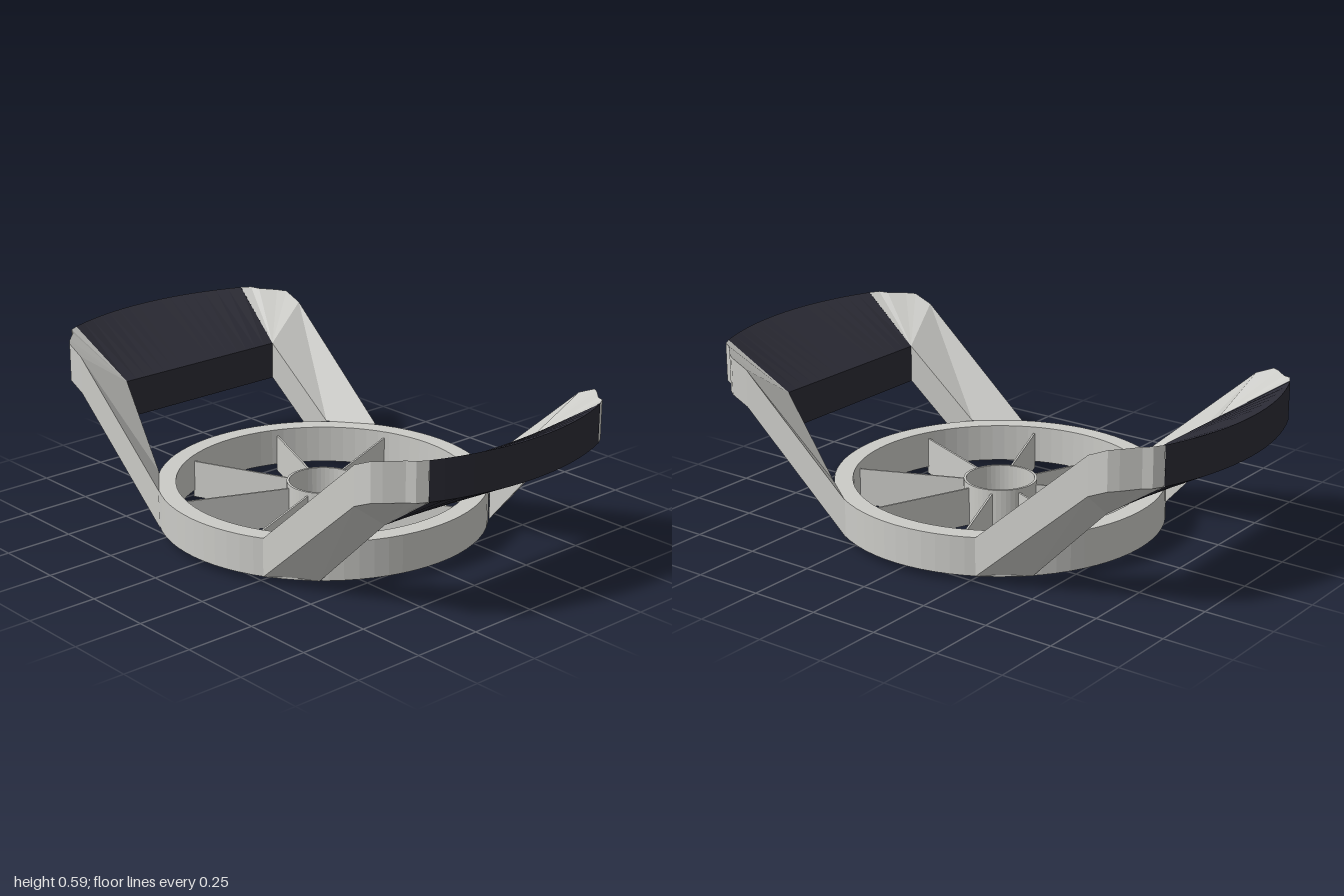
import * as THREE from 'three';

const SLAB = 0.138; // vertical thickness of arms and grips
const RING_OUT = 0.585, RING_IN = 0.52;

// Flat-shaded slab between an outer and an inner edge, extruded straight down.
function slabGeometry(outer, inner, sx, sz) {
  const pos = [];
  const flip = sx * sz < 0;
  const put = p => pos.push(p[0] * sx, p[1], p[2] * sz);
  const tri = (a, b, c) => (flip ? [a, c, b] : [a, b, c]).forEach(put);
  const quad = (a, b, c, d) => { tri(a, b, c); tri(a, c, d); };
  const down = p => [p[0], p[1] - SLAB, p[2]];
  for (let i = 0; i < outer.length - 1; i++) {
    const o = outer[i], o2 = outer[i + 1], n = inner[i], n2 = inner[i + 1];
    const fan = n === n2;
    tri(o, o2, n);
    tri(down(o), down(n), down(o2));
    quad(down(o), down(o2), o2, o);
    if (!fan) {
      tri(o2, n2, n);
      tri(down(o2), down(n), down(n2));
      quad(down(n2), down(n), n, n2);
    }
  }
  const g = new THREE.BufferGeometry();
  g.setAttribute('position', new THREE.Float32BufferAttribute(pos, 3));
  g.computeVertexNormals();
  return g;
}

// Upright tube standing on y = 0.
function tubeGeometry(rOut, rIn, height, segments) {
  const shape = new THREE.Shape().absarc(0, 0, rOut, 0, Math.PI * 2, false);
  shape.holes.push(new THREE.Path().absarc(0, 0, rIn, 0, Math.PI * 2, true));
  const g = new THREE.ExtrudeGeometry(shape, { depth: height, bevelEnabled: false, curveSegments: segments });
  return g.rotateX(-Math.PI / 2);
}

export function createModel() {
  const model = new THREE.Group();
  model.name = 'fruitSlicer';
  const metal = new THREE.MeshStandardMaterial({ color: 0xcbcbc7 });
  metal.name = 'light grey metal';
  const rubber = new THREE.MeshStandardMaterial({ color: 0x2b2b35 });
  rubber.name = 'dark rubber';

  const add = (name, geometry, material, y = 0) => {
    const mesh = new THREE.Mesh(geometry, material);
    mesh.name = name;
    mesh.position.y = y;
    model.add(mesh);
    return mesh;
  };

  // Ring and central corer
  add('ring', tubeGeometry(RING_OUT, RING_IN, 0.137, 36), metal, 0.028);
  add('corer', tubeGeometry(0.13, 0.121, 0.155, 24), metal);

  // Eight radial blades
  const bladeStart = 0.125, bladeEnd = RING_IN + 0.005;
  for (let i = 0; i < 8; i++) {
    const g = new THREE.BoxGeometry(bladeEnd - bladeStart, 0.138, 0.007);
    g.translate((bladeStart + bladeEnd) / 2, 0, 0);
    add('blade', g, metal, 0.071).rotation.y = (i + 0.5) * Math.PI / 4;
  }

  // Arms: rise from the ring and turn the corner to the grip
  const root = [0.43, 0.165, 0.4], elbow = [0.68, 0.428, 0.345];
  const armOuter = [
    [0.28, 0.165, 0.515], [0.72, 0.55, 0.515], [0.79, 0.58, 0.512], [0.82, 0.583, 0.49],
    [0.87, 0.587, 0.44], [0.9, 0.59, 0.425], [0.92, 0.59, 0.39],
  ];
  const armInner = armOuter.map((p, i) => (i === 0 ? root : elbow));

  // Grip: curved outer edge, straight lower inner edge
  const gripOuter = [], gripInner = [], steps = 16;
  for (let i = 0; i <= steps; i++) {
    const t = 1 - 2 * i / steps;
    const z = 0.39 * t;
    gripOuter.push([Math.sqrt(1 - z * z), 0.59, z]);
    gripInner.push([0.68, 0.428, 0.345 * t]);
  }

  for (const sx of [1, -1]) {
    const side = sx > 0 ? 'left' : 'right';
    add(side + 'Grip', slabGeometry(gripOuter, gripInner, sx, 1), rubber);
    for (const sz of [1, -1]) {
      add(side + (sz > 0 ? 'FrontArm' : 'BackArm'), slabGeometry(armOuter, armInner, sx, sz), metal);
    }
  }
  return model;
}
